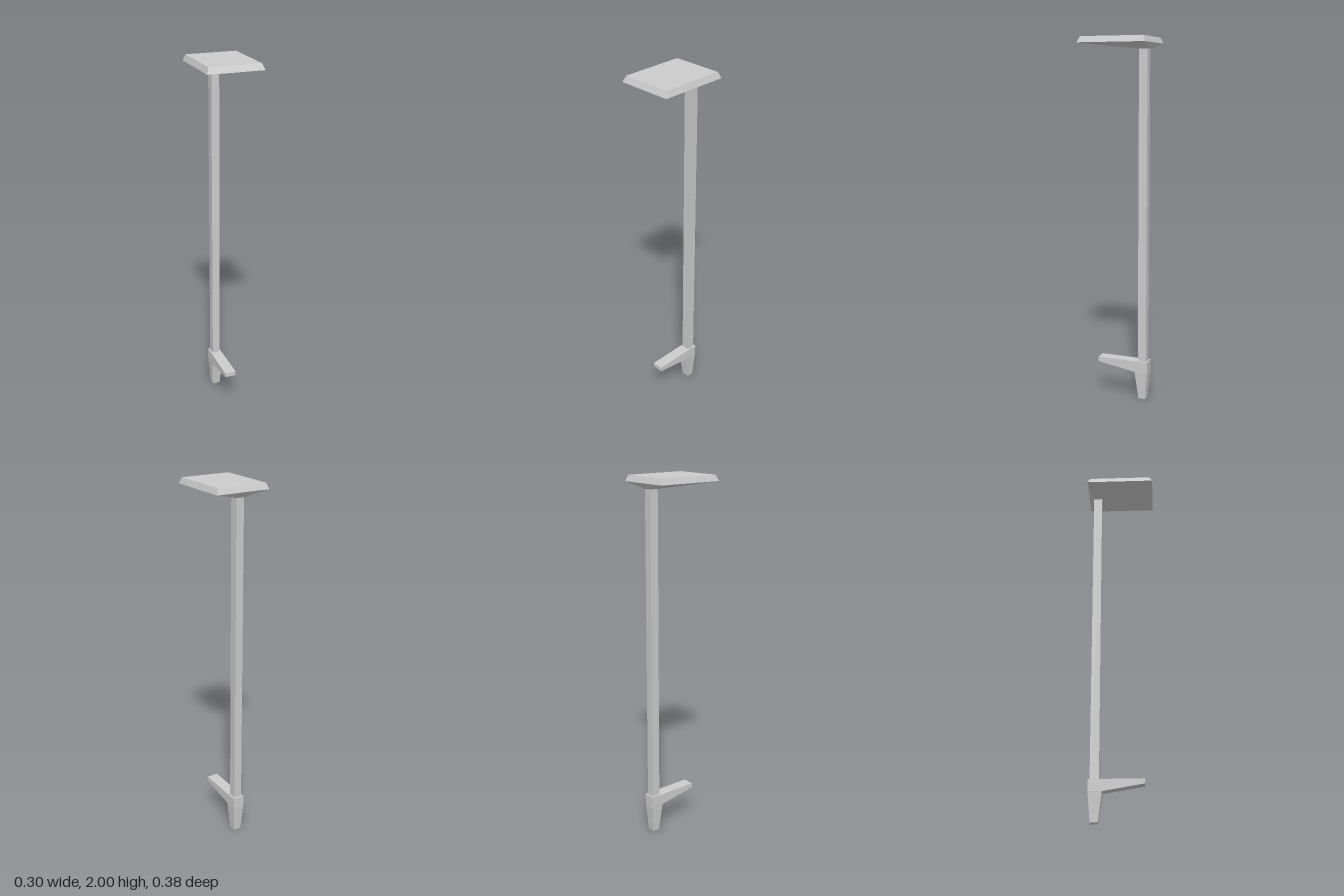
import * as THREE from 'three';

const material = new THREE.MeshStandardMaterial({ color: 0xcccccc, flatShading: true });

// Rectangular ring lying flat at height y (counter-clockwise seen from above)
const flatRing = (y, w, z0, z1) => [[-w, y, z1], [w, y, z1], [w, y, z0], [-w, y, z0]];

// Rectangular ring standing upright at depth z (counter-clockwise seen from +z)
const uprightRing = (z, w, y0, y1) => [[-w, y0, z], [w, y0, z], [w, y1, z], [-w, y1, z]];

// Closed faceted solid through a stack of four-cornered rings
function loft(name, rings) {
  const positions = [];
  const quad = (a, b, c, d) => positions.push(...a, ...b, ...c, ...a, ...c, ...d);
  for (let r = 0; r < rings.length - 1; r++) {
    const lower = rings[r], upper = rings[r + 1];
    for (let i = 0; i < 4; i++) {
      const j = (i + 1) % 4;
      quad(lower[i], lower[j], upper[j], upper[i]);
    }
  }
  quad(...[...rings[0]].reverse());
  quad(...rings[rings.length - 1]);
  const geometry = new THREE.BufferGeometry();
  geometry.setAttribute('position', new THREE.Float32BufferAttribute(positions, 3));
  geometry.computeVertexNormals();
  const mesh = new THREE.Mesh(geometry, material);
  mesh.name = name;
  return mesh;
}

export function createModel() {
  const model = new THREE.Group();
  model.name = 'postWithPlate';

  // Bevelled top plate whose underside slopes down to the post
  model.add(loft('topPlate', [
    flatRing(1.937, 0.022, -0.159, -0.111),
    flatRing(1.968, 0.152, -0.19, 0.19),
    flatRing(2, 0.14, -0.175, 0.174),
  ]));

  // Slender square post
  model.add(loft('post', [
    flatRing(0.2, 0.022, -0.159, -0.111),
    flatRing(1.94, 0.022, -0.159, -0.111),
  ]));

  // Foot: tapered peg with a wedge-shaped step pointing forward
  const foot = new THREE.Group();
  foot.name = 'foot';
  foot.add(loft('peg', [
    flatRing(0, 0.022, -0.155, -0.115),
    flatRing(0.157, 0.032, -0.168, -0.095),
    flatRing(0.22, 0.032, -0.168, -0.095),
  ]));
  foot.add(loft('step', [
    uprightRing(-0.095, 0.032, 0.157, 0.22),
    uprightRing(0.124, 0.032, 0.194, 0.22),
  ]));
  model.add(foot);

  return model;
}
